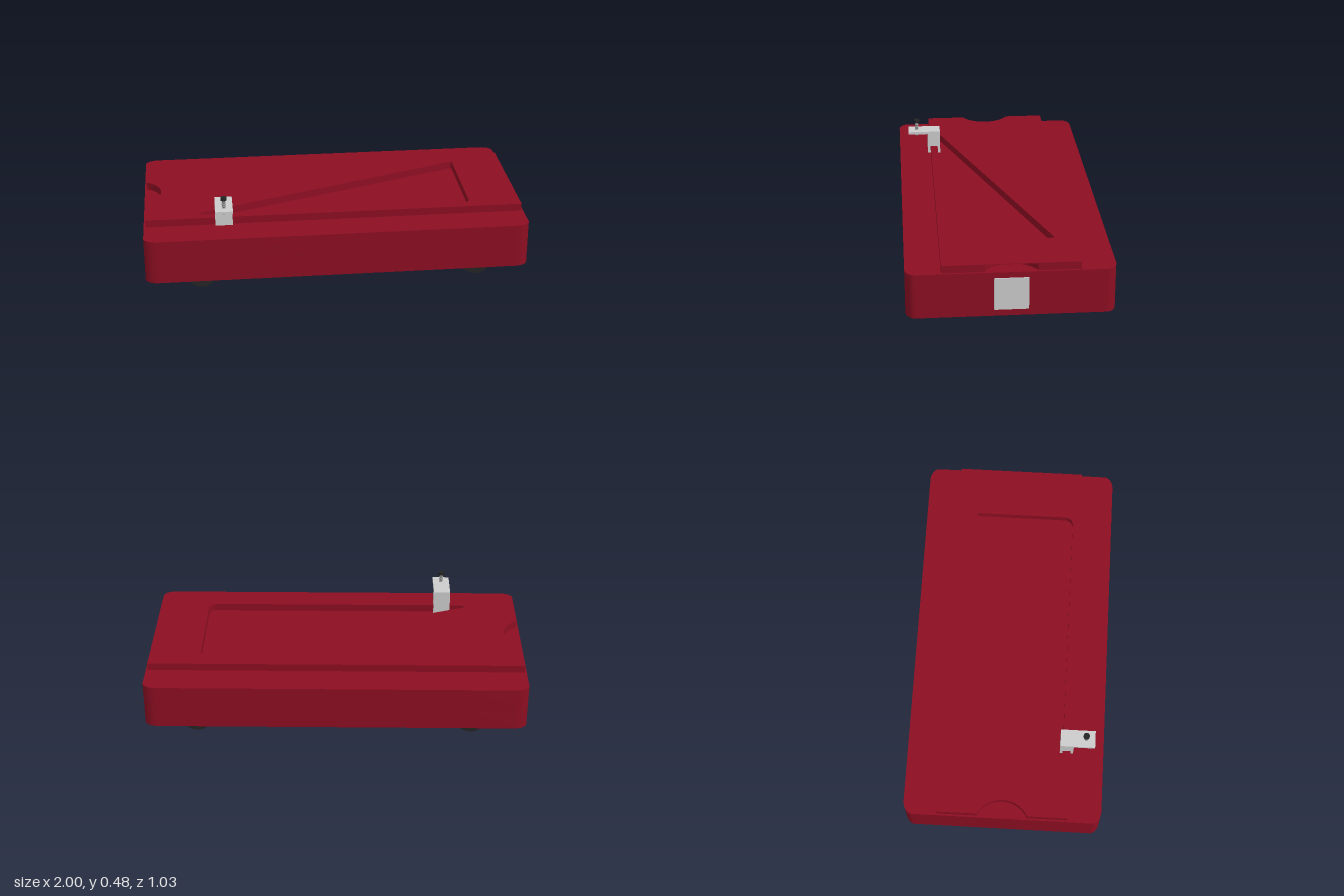
import * as THREE from 'three';
import { toCreasedNormals } from 'three/addons/utils/BufferGeometryUtils.js';

const material = (name, color) => {
  const m = new THREE.MeshStandardMaterial({ color });
  m.name = name;
  return m;
};

export function createModel() {
  const red = material('dark red', 0x8c0e22);
  const silver = material('light grey', 0xcccccc);
  const steel = material('steel grey', 0x8e8e8e);
  const black = material('black', 0x242424);
  const model = new THREE.Group();
  model.name = 'wheeledBoard';

  const add = (name, geometry, mat, x = 0, y = 0, z = 0) => {
    const mesh = new THREE.Mesh(geometry, mat);
    mesh.name = name;
    mesh.position.set(x, y, z);
    model.add(mesh);
    return mesh;
  };
  // Plan outline (shape y is -z) raised from y0 to y1
  const slab = (name, shape, y0, y1) => {
    const g = new THREE.ExtrudeGeometry(shape, { depth: y1 - y0, bevelEnabled: false, curveSegments: 16 });
    g.rotateX(-Math.PI / 2);
    return add(name, toCreasedNormals(g, 0.5), red, 0, y0, 0);
  };

  // Body outline with elliptical corners
  const x0 = -1, x1 = 0.995, d = 0.515, rx = 0.07, rz = 0.048;
  const bodyShape = () => {
    const s = new THREE.Shape();
    const q = Math.PI / 2;
    s.moveTo(x0 + rx, -d);
    s.lineTo(x1 - rx, -d);
    s.absellipse(x1 - rx, -d + rz, rx, rz, -q, 0, false, 0);
    s.absellipse(x1 - rx, d - rz, rx, rz, 0, q, false, 0);
    s.absellipse(x0 + rx, d - rz, rx, rz, q, 2 * q, false, 0);
    s.absellipse(x0 + rx, -d + rz, rx, rz, 2 * q, 3 * q, false, 0);
    return s;
  };

  // Wheels, each in its own well in the underside
  const lower = bodyShape();
  for (const [ex, end] of [[-0.71, 'Right'], [0.725, 'Left']]) {
    for (const [ez, side] of [[0.4225, 'front'], [-0.4125, 'back']]) {
      const wx = 0.12, wz = 0.06;
      lower.holes.push(new THREE.Path([
        new THREE.Vector2(ex - wx, -ez - wz), new THREE.Vector2(ex - wx, -ez + wz),
        new THREE.Vector2(ex + wx, -ez + wz), new THREE.Vector2(ex + wx, -ez - wz),
      ]));
      const wheel = new THREE.CylinderGeometry(0.079, 0.079, 0.105, 32).rotateX(Math.PI / 2);
      add(side + end + 'Wheel', wheel, black, ex, 0.079, ez);
    }
  }
  slab('lowerBody', lower, 0.055, 0.165);
  slab('upperBody', bodyShape(), 0.165, 0.29);

  // Raised deck with a round notch at each end and a triangular pocket
  const a = 1.1, r = 0.146;
  const deck = new THREE.Shape();
  deck.moveTo(-0.99, -0.34);
  deck.lineTo(0.985, -0.34);
  deck.absarc(1.051, 0, r, Math.PI + a, Math.PI - a, true);
  deck.lineTo(0.985, 0.34);
  deck.lineTo(-0.99, 0.34);
  deck.absarc(-1.056, 0, r, a, -a, true);
  deck.closePath();
  const pocket = new THREE.Path();
  pocket.moveTo(-0.69, -0.27);
  pocket.lineTo(0.7, 0.235);
  pocket.quadraticCurveTo(0.715, 0.24, 0.715, 0.225);
  pocket.lineTo(0.715, -0.25);
  pocket.quadraticCurveTo(0.715, -0.3, 0.665, -0.3);
  pocket.lineTo(-0.67, -0.3);
  pocket.quadraticCurveTo(-0.74, -0.29, -0.69, -0.27);
  deck.holes.push(pocket);
  slab('deck', deck, 0.29, 0.33);

  // Thin roof over the left notch
  const roof = new THREE.Shape();
  roof.absarc(1.051, 0, r, Math.PI - a, Math.PI + a, false);
  roof.closePath();
  slab('notchRoof', roof, 0.327, 0.33);

  // End plate
  add('endPlate', new THREE.BoxGeometry(0.008, 0.17, 0.17), silver, 0.996, 0.175, 0);

  // Clamp bracket
  add('clampPost', new THREE.BoxGeometry(0.09, 0.115, 0.07), silver, -0.585, 0.3475, 0.32);
  add('clampArm', new THREE.BoxGeometry(0.09, 0.015, 0.18), silver, -0.585, 0.4125, 0.375);

  // Threaded screw with a knob
  const thread = [new THREE.Vector2(0, 0)];
  const turns = 8, pitch = 0.01;
  for (let i = 0; i < turns; i++) {
    thread.push(new THREE.Vector2(0.007, i * pitch), new THREE.Vector2(0.011, (i + 0.5) * pitch));
  }
  thread.push(new THREE.Vector2(0.007, turns * pitch));
  add('clampScrew', toCreasedNormals(new THREE.LatheGeometry(thread, 16), 0.6), steel, -0.585, 0.384, 0.417);
  add('screwKnob', new THREE.CylinderGeometry(0.016, 0.016, 0.016, 24), black, -0.585, 0.472, 0.417);

  return model;
}
